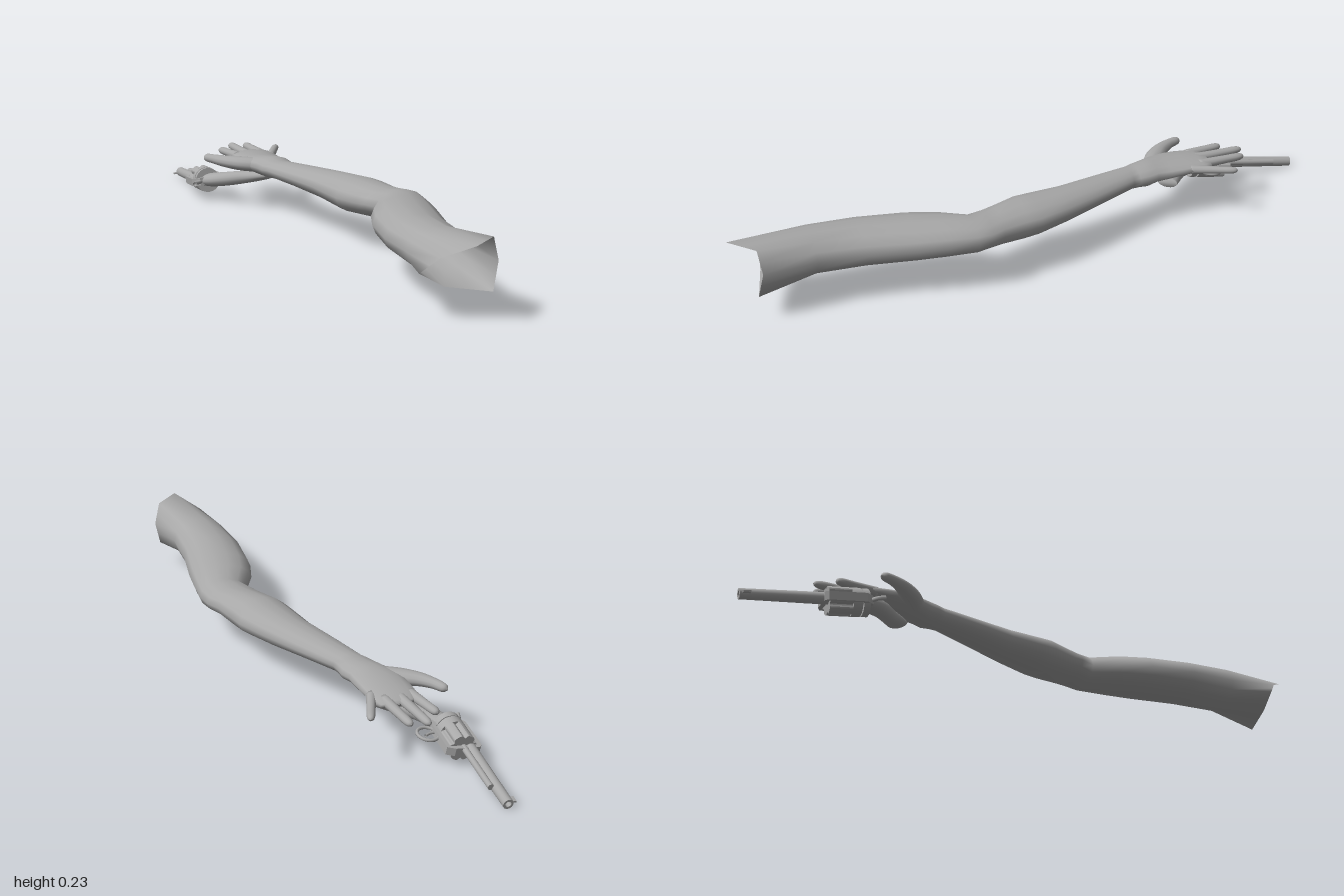
import * as THREE from 'three';

const grey = new THREE.MeshStandardMaterial({ color: 0xa8a8a8, side: THREE.DoubleSide });
grey.name = 'plain grey';

function add(parent, name, geometry, x = 0, y = 0, z = 0) {
  const mesh = new THREE.Mesh(geometry, grey);
  mesh.name = name;
  mesh.position.set(x, y, z);
  parent.add(mesh);
  return mesh;
}

// Skin a list of equal-length rings of Vector3
function loft(rings) {
  const n = rings[0].length, pos = [], idx = [];
  rings.forEach(r => r.forEach(p => pos.push(p.x, p.y, p.z)));
  for (let k = 0; k < rings.length - 1; k++) {
    for (let i = 0; i < n; i++) {
      const a = k * n + i, b = k * n + (i + 1) % n;
      idx.push(a, b, a + n, b, b + n, a + n);
    }
  }
  const g = new THREE.BufferGeometry();
  g.setAttribute('position', new THREE.Float32BufferAttribute(pos, 3));
  g.setIndex(idx);
  g.computeVertexNormals();
  return g;
}

// Elliptical tube through [x, y, z, radiusA, radiusB]; radiusA lies across ref
function limb(points, ref, steps = 24, sides = 12) {
  const path = new THREE.CatmullRomCurve3(points.map(p => new THREE.Vector3(p[0], p[1], p[2])), false, 'catmullrom');
  const size = new THREE.CatmullRomCurve3(points.map(p => new THREE.Vector3(p[3], p[4], 0)), false, 'catmullrom');
  const rings = [];
  for (let k = 0; k <= steps; k++) {
    const t = k / steps, c = path.getPoint(t), s = size.getPoint(t), d = path.getTangent(t);
    const e1 = new THREE.Vector3().crossVectors(ref, d).normalize();
    const e2 = new THREE.Vector3().crossVectors(d, e1);
    rings.push(Array.from({ length: sides }, (_, i) => {
      const a = i / sides * Math.PI * 2;
      return c.clone().addScaledVector(e1, s.x * Math.cos(a)).addScaledVector(e2, s.y * Math.sin(a));
    }));
  }
  // close both ends
  const close = r => {
    const m = r.reduce((s, p) => s.add(p), new THREE.Vector3()).divideScalar(sides);
    return r.map(() => m.clone());
  };
  return loft([close(rings[0]), ...rings, close(rings[steps])]);
}

const UP = new THREE.Vector3(0, 1, 0), SIDE = new THREE.Vector3(0, 0, 1);

// Straight finger with a rounded tip
function finger(base, tip, r) {
  const at = (t, k) => [...base.map((v, i) => v + (tip[i] - v) * t), r * k, r * k * 0.9];
  return limb([at(0, 1.2), at(0.3, 1.1), at(0.6, 1), at(0.85, 0.95), at(0.96, 0.65), at(1, 0.05)], UP);
}

function buildArm(parent) {
  const n = 14;
  // z, left x, right x, bottom y, top y
  const sections = [
    [-0.612, -0.06, -0.055, 0.163, 0.167], [-0.605, -0.115, 0.0, 0.152, 0.176], [-0.575, -0.135, 0.01, 0.147, 0.182],
    [-0.52, -0.138, 0.013, 0.142, 0.187], [-0.46, -0.138, 0.015, 0.135, 0.19], [-0.41, -0.115, 0.016, 0.13, 0.195],
    [-0.375, -0.098, 0.027, 0.126, 0.197], [-0.345, -0.09, 0.026, 0.128, 0.193], [-0.32, -0.075, 0.03, 0.13, 0.193],
    [-0.2, -0.042, 0.09, 0.125, 0.2], [-0.06, -0.002, 0.155, 0.115, 0.208], [0.05, 0.015, 0.2, 0.107, 0.215],
    [0.1, 0.025, 0.21, 0.105, 0.217], [0.18, 0.06, 0.226, 0.11, 0.212], [0.22, 0.075, 0.25, 0.118, 0.211],
    [0.27, 0.1, 0.258, 0.115, 0.217], [0.36, 0.05, 0.25, 0.107, 0.222], [0.45, 0.022, 0.238, 0.102, 0.224],
    [0.6, 0.006, 0.21, 0.098, 0.226], [0.75, 0.015, 0.2, 0.095, 0.23],
  ];
  const rings = sections.map(([z, l, r, b, t]) => Array.from({ length: n }, (_, i) => {
    const a = i / n * Math.PI * 2;
    return new THREE.Vector3((l + r) / 2 + (r - l) / 2 * Math.cos(a), (b + t) / 2 + (t - b) / 2 * Math.sin(a), z);
  }));
  // ragged open shoulder edge
  const hem = [[0.22, 0.165, 0.915], [0.2, 0.236, 0.925], [0.12, 0.236, 1], [0.045, 0.19, 0.93],
    [0, 0.14, 0.89], [0.07, 0.1, 0.9], [0.2, 0.083, 0.93]].map(p => new THREE.Vector3(...p));
  rings.push(hem.flatMap((p, i) => [p, p.clone().lerp(hem[(i + 1) % hem.length], 0.5)]));
  add(parent, 'armAndPalm', loft(rings));

  add(parent, 'thumb', limb([
    [-0.08, 0.162, -0.42, 0.03, 0.025], [-0.13, 0.163, -0.455, 0.032, 0.024], [-0.175, 0.165, -0.495, 0.025, 0.02],
    [-0.203, 0.166, -0.535, 0.018, 0.016], [-0.22, 0.165, -0.57, 0.014, 0.013], [-0.226, 0.164, -0.582, 0.002, 0.002],
  ], UP));
  add(parent, 'indexFinger', finger([-0.113, 0.165, -0.56], [-0.142, 0.162, -0.695], 0.0145));
  add(parent, 'middleFinger', finger([-0.075, 0.166, -0.57], [-0.092, 0.165, -0.75], 0.0145));
  add(parent, 'ringFinger', finger([-0.028, 0.166, -0.57], [-0.042, 0.165, -0.735], 0.0145));
  add(parent, 'littleFinger', finger([-0.006, 0.164, -0.53], [0.055, 0.167, -0.67], 0.013));
}

// Rod along local x
function rod(r, from, to, sides = 16) {
  return new THREE.CylinderGeometry(r, r, to - from, sides).rotateZ(-Math.PI / 2).translate((from + to) / 2, 0, 0);
}

const curve = pts => new THREE.CatmullRomCurve3(pts.map(p => new THREE.Vector3(p[0], p[1], 0)));

// Local axes: x forward along the barrel, y up, z to the side
function buildRevolver() {
  const gun = new THREE.Group();
  gun.name = 'revolver';

  // fluted cylinder
  const drum = new THREE.Shape(Array.from({ length: 72 }, (_, i) => {
    const a = i / 72 * Math.PI * 2, r = 0.043 - 0.009 * Math.max(0, Math.cos(6 * a)) ** 2;
    return new THREE.Vector2(r * Math.cos(a), r * Math.sin(a));
  }));
  add(gun, 'flutedCylinder', new THREE.ExtrudeGeometry(drum, { depth: 0.07, bevelEnabled: false })
    .rotateY(Math.PI / 2), -0.022, 0, 0);
  add(gun, 'cylinderRear', rod(0.043, -0.05, -0.022, 24));
  add(gun, 'recoilShield', rod(0.042, -0.074, -0.054, 24));

  // frame with a window for the cylinder
  const frame = new THREE.Shape([[-0.085, -0.045], [-0.06, -0.055], [0.055, -0.055], [0.066, -0.03], [0.066, 0.045],
    [0.055, 0.054], [-0.06, 0.054], [-0.085, 0.03]].map(p => new THREE.Vector2(...p)));
  frame.holes.push(new THREE.Path([[-0.052, -0.044], [-0.052, 0.044], [0.052, 0.044], [0.052, -0.044]]
    .map(p => new THREE.Vector2(...p))));
  add(gun, 'frame', new THREE.ExtrudeGeometry(frame, { depth: 0.026, bevelEnabled: false }), 0, 0, -0.013);

  // hollow barrel
  const profile = [[0.009, 0.2], [0.009, 0.312], [0.016, 0.312], [0.018, 0.052]].map(p => new THREE.Vector2(...p));
  for (let i = 0; i < 3; i++) {
    add(gun, ['bore', 'muzzle', 'barrel'][i],
      new THREE.LatheGeometry([profile[i + 1], profile[i]], 20).rotateZ(-Math.PI / 2), 0, 0.022, 0);
  }
  add(gun, 'borePlug', rod(0.009, 0.19, 0.2), 0, 0.022, 0);
  add(gun, 'ejectorHousing', rod(0.0095, 0.05, 0.24, 12), 0, 0, 0.006);
  add(gun, 'frontSight', new THREE.BoxGeometry(0.022, 0.016, 0.005), 0.293, 0.043, 0);

  // hammer, trigger and guard
  add(gun, 'hammer', new THREE.TubeGeometry(curve([[-0.07, 0.01], [-0.085, 0.035], [-0.095, 0.05], [-0.115, 0.056]]), 10, 0.007, 8));
  add(gun, 'triggerGuard', new THREE.TorusGeometry(0.032, 0.005, 8, 28), -0.03, -0.077, 0);
  add(gun, 'trigger', new THREE.TubeGeometry(curve([[-0.035, -0.05], [-0.032, -0.07], [-0.022, -0.088]]), 8, 0.004, 6));

  // curved grip flaring at the butt
  add(gun, 'grip', limb([[-0.06, -0.005, 0, 0.036, 0.022], [-0.1, -0.025, 0, 0.034, 0.024], [-0.14, -0.062, 0, 0.029, 0.024],
    [-0.175, -0.11, 0, 0.028, 0.022], [-0.205, -0.15, 0, 0.031, 0.019], [-0.23, -0.185, 0, 0.032, 0.015]], SIDE, 24, 16));

  const forward = new THREE.Vector3(0.03, -0.13, -0.99).normalize();
  const side = new THREE.Vector3().crossVectors(forward, new THREE.Vector3(-0.98, -0.12, 0)).normalize();
  const up = new THREE.Vector3().crossVectors(side, forward);
  gun.quaternion.setFromRotationMatrix(new THREE.Matrix4().makeBasis(forward, up, side));
  gun.position.set(-0.205, 0.064, -0.69);
  return gun;
}

export function createModel() {
  const model = new THREE.Group();
  model.name = 'armWithRevolver';
  const arm = new THREE.Group();
  arm.name = 'arm';
  buildArm(arm);
  model.add(arm, buildRevolver());
  return model;
}
